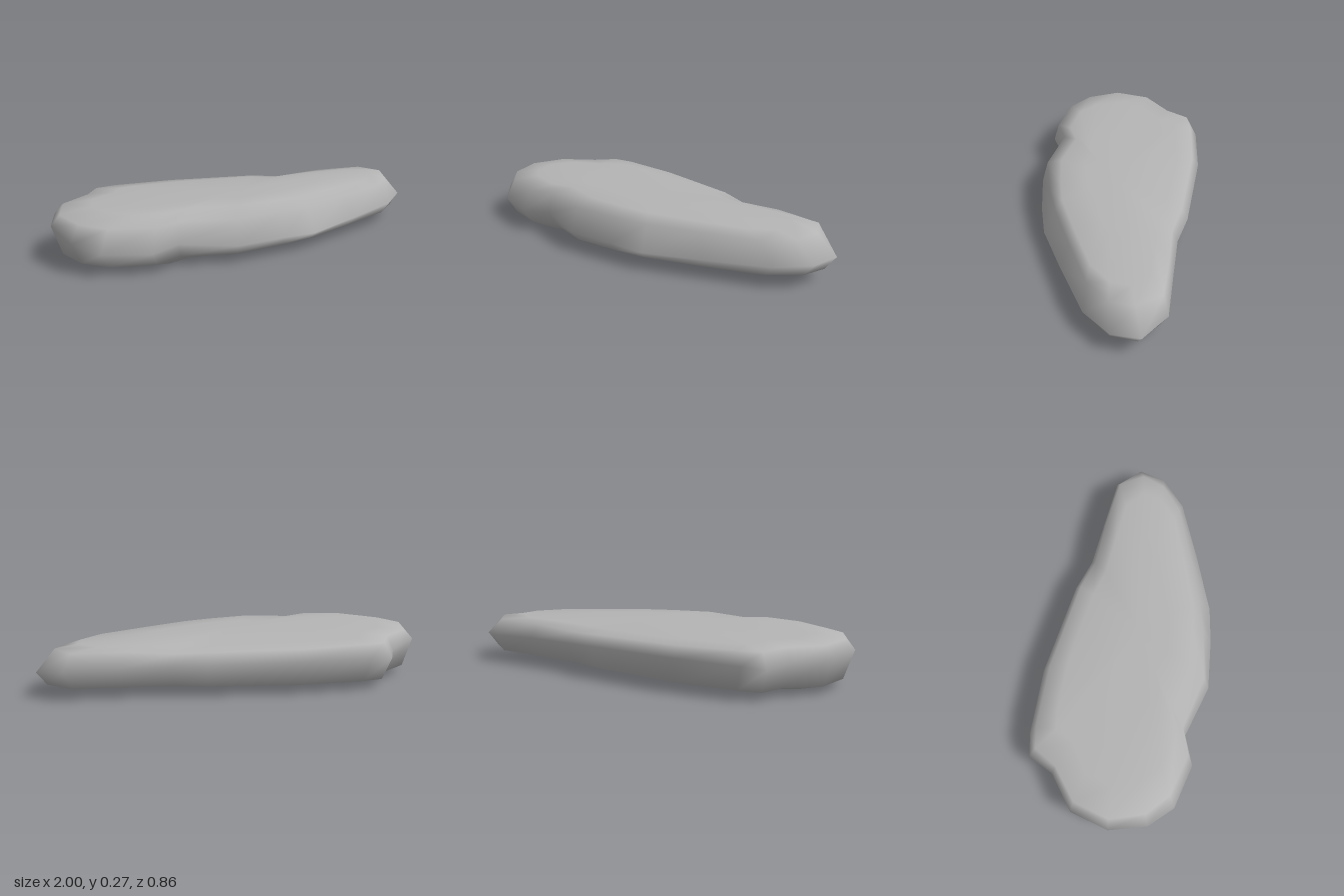
import * as THREE from 'three';

// Outline of the slab: x, z, height of the widest point, height of the top rim, inset of the top rim
const OUTLINE = [
  [-0.96, -0.10, 0.19, 0.24, 1], [-0.80, -0.24, 0.17, 0.24, 0.8],
  [-0.745, -0.375, 0.16, 0.235, 1], [-0.63, -0.405, 0.17, 0.235, 1],
  [-0.30, -0.43, 0.175, 0.23, 1], [0.19, -0.395, 0.17, 0.225, 1],
  [0.36, -0.355, 0.16, 0.215, 1], [0.60, -0.35, 0.16, 0.235, 0.8],
  [0.87, -0.345, 0.15, 0.235, 1], [1.00, -0.24, 0.13, 0.235, 2],
  [0.98, -0.10, 0.12, 0.22, 2.2], [0.85, 0.04, 0.11, 0.215, 2.2],
  [0.56, 0.19, 0.10, 0.215, 2.2], [0.28, 0.325, 0.09, 0.215, 2.2],
  [0.10, 0.37, 0.10, 0.22, 1.6], [-0.16, 0.415, 0.10, 0.225, 1],
  [-0.44, 0.355, 0.12, 0.225, 0.7], [-0.58, 0.425, 0.11, 0.225, 1],
  [-0.81, 0.385, 0.12, 0.23, 1.1], [-0.93, 0.28, 0.15, 0.235, 1],
  [-1.00, 0.10, 0.19, 0.24, 1],
];

const floorAt = (x) => 0.02 + 0.02 * x; // underside rises towards the narrow end

// Cross-sections from the underside to the top, each a scaled copy of the outline
const RINGS = [
  ([x, z]) => [x * 0.45, floorAt(x * 0.45), z * 0.4],
  ([x, z]) => [x * 0.81, floorAt(x * 0.81) - 0.004 + 0.05 * Math.max(0, -z), z * 0.7],
  ([x, z]) => [x * 0.95, 0.052 + 0.01 * x, z * 0.91],
  ([x, z, mid]) => [x, mid, z],
  ([x, z, mid, rim, k]) => [x * (1 - 0.045 * k), rim, z * (1 - 0.08 * k)],
  ([x, z, mid, rim]) => [x * 0.8, rim * 0.4 + 0.162 + 0.03 * z, z * 0.72],
  ([x, z]) => [x * 0.45, 0.262 + 0.01 * z, z * 0.4],
];

function slabGeometry() {
  const n = OUTLINE.length;
  const positions = [];
  const index = [];
  for (const ring of RINGS) for (const p of OUTLINE) positions.push(...ring(p));
  const bottom = positions.length / 3;
  positions.push(0, 0.018, 0, 0, 0.266, 0);
  const top = bottom + 1;
  const last = (RINGS.length - 1) * n;
  for (let i = 0; i < n; i++) {
    const j = (i + 1) % n;
    for (let r = 0; r < last; r += n) {
      const a = r + i, b = r + j;
      index.push(b, a, a + n, b, a + n, b + n);
    }
    index.push(bottom, i, j, top, last + j, last + i);
  }
  const geometry = new THREE.BufferGeometry();
  geometry.setAttribute('position', new THREE.Float32BufferAttribute(positions, 3));
  geometry.setIndex(index);
  // Settle the lowest point on the ground
  geometry.computeBoundingBox();
  geometry.translate(0, -geometry.boundingBox.min.y, 0);
  geometry.computeVertexNormals();
  return geometry;
}

export function createModel() {
  const group = new THREE.Group();
  group.name = 'flatRock';
  const stone = new THREE.MeshStandardMaterial({ color: 0xb4b4b4 });
  stone.name = 'grey stone';
  const slab = new THREE.Mesh(slabGeometry(), stone);
  slab.name = 'stoneSlab';
  group.add(slab);
  return group;
}
